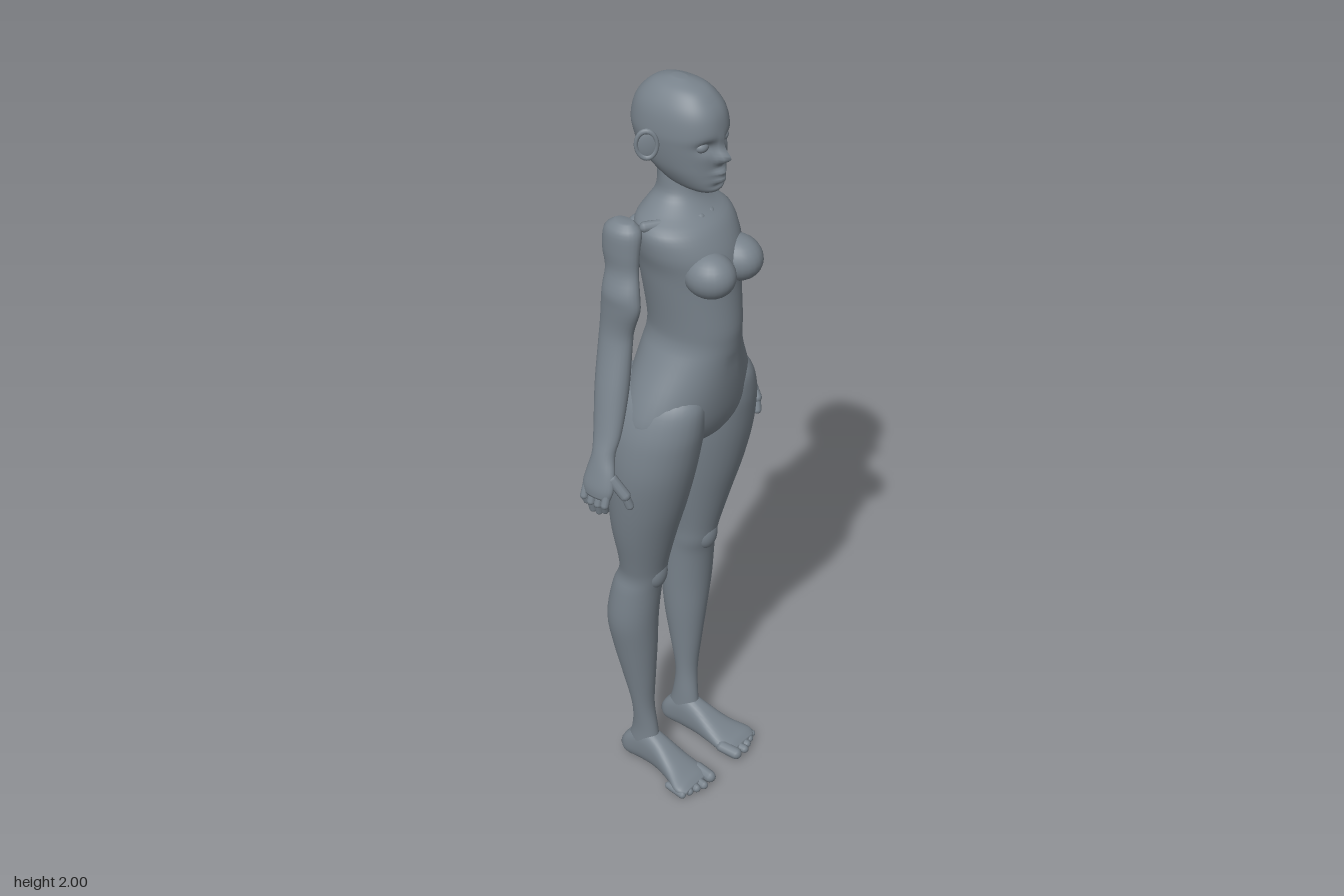
import * as THREE from 'three';

const skin = new THREE.MeshStandardMaterial({ color: 0x78828b });
skin.name = 'slate grey';

// Catmull-Rom blend of whole section rows
function sample(rows, t) {
  const i = Math.min(Math.floor(t), rows.length - 2), f = t - i;
  const at = k => rows[Math.max(0, Math.min(rows.length - 1, k))];
  const [a, b, c, d] = [at(i - 1), at(i), at(i + 1), at(i + 2)];
  return b.map((_, k) => b[k] + 0.5 * f * (c[k] - a[k] +
    f * (2 * a[k] - 5 * b[k] + 4 * c[k] - d[k] + f * (3 * (b[k] - c[k]) + d[k] - a[k]))));
}

// Skin through sections [y, xMin, xMax, zMin, zMax], listed from high y to low y
function loft(rows, { segs = 32, steps = 4, power = 2, deform } = {}) {
  const pos = [], idx = [], rings = (rows.length - 1) * steps + 1;
  const round = v => Math.sign(v) * Math.pow(Math.abs(v), 2 / power);
  for (let i = 0; i < rings; i++) {
    const [y, x0, x1, z0, z1] = sample(rows, i / steps);
    for (let j = 0; j < segs; j++) {
      const a = j / segs * Math.PI * 2;
      const p = new THREE.Vector3(
        (x0 + x1) / 2 + (x1 - x0) / 2 * round(Math.cos(a)), y,
        (z0 + z1) / 2 + (z1 - z0) / 2 * round(Math.sin(a)));
      if (deform) deform(p, Math.sin(a));
      pos.push(p.x, p.y, p.z);
    }
  }
  for (const r of [rows[0], rows[rows.length - 1]]) pos.push((r[1] + r[2]) / 2, r[0], (r[3] + r[4]) / 2);
  const top = rings * segs, last = (rings - 1) * segs;
  for (let j = 0; j < segs; j++) {
    const k = (j + 1) % segs;
    idx.push(top, k, j, top + 1, last + j, last + k);
    for (let i = 0; i < rings - 1; i++) {
      const a = i * segs + j, b = i * segs + k;
      idx.push(a, b, a + segs, b, b + segs, a + segs);
    }
  }
  const g = new THREE.BufferGeometry();
  g.setAttribute('position', new THREE.Float32BufferAttribute(pos, 3));
  g.setIndex(idx);
  g.computeVertexNormals();
  return g;
}

const symmetric = rows => rows.map(([y, w, b, f]) => [y, -w, w, b, f]);

function ellipsoid(x, y, z, rx, ry, rz, turn = 0) {
  return new THREE.SphereGeometry(1, 24, 16).scale(rx, ry, rz).rotateY(turn).translate(x, y, z);
}

// Rounded rod between two points
function digit(from, to, r) {
  const a = new THREE.Vector3(...from), b = new THREE.Vector3(...to), d = b.clone().sub(a);
  const q = new THREE.Quaternion().setFromUnitVectors(new THREE.Vector3(0, 1, 0), d.clone().normalize());
  return new THREE.CapsuleGeometry(r, d.length(), 5, 10).applyQuaternion(q)
    .translate((a.x + b.x) / 2, (a.y + b.y) / 2, (a.z + b.z) / 2);
}

function mirrored(g) {
  const m = g.clone().scale(-1, 1, 1), ix = m.index.array;
  for (let i = 0; i < ix.length; i += 3) [ix[i], ix[i + 1]] = [ix[i + 1], ix[i]];
  return m;
}

const bump = (p, x, y, sx, sy) => Math.exp(-(((Math.abs(p.x) - x) / sx) ** 2) - ((p.y - y) / sy) ** 2);

export function createModel() {
  const model = new THREE.Group();
  const add = (name, g) => {
    const mesh = new THREE.Mesh(g, skin);
    mesh.name = name;
    model.add(mesh);
  };
  const pair = (name, g) => {
    add('left ' + name, g);
    add('right ' + name, mirrored(g));
  };

  // Head with sockets, nose, lips and chin pushed into the face
  add('head', loft(symmetric([
    [1.999, 0.012, -0.045, -0.01], [1.985, 0.043, -0.09, 0.04], [1.96, 0.065, -0.12, 0.07],
    [1.93, 0.078, -0.138, 0.088], [1.89, 0.084, -0.146, 0.095], [1.86, 0.083, -0.141, 0.091],
    [1.82, 0.077, -0.125, 0.088], [1.79, 0.068, -0.095, 0.088], [1.76, 0.052, -0.06, 0.09],
    [1.745, 0.038, -0.03, 0.085], [1.735, 0.022, 0, 0.066],
  ]), {
    segs: 64, steps: 6, power: 2.3, deform: (p, front) => {
      if (front < 0.2) return;
      p.z += 0.026 * bump(p, 0, 1.833, 0.013, 0.016) + 0.01 * bump(p, 0, 1.855, 0.009, 0.025)
        + 0.008 * bump(p, 0.014, 1.828, 0.007, 0.009)
        + 0.014 * bump(p, 0, 1.793, 0.02, 0.008) + 0.013 * bump(p, 0, 1.775, 0.017, 0.008)
        - 0.014 * bump(p, 0.037, 1.864, 0.02, 0.016) - 0.005 * bump(p, 0, 1.762, 0.025, 0.006);
    },
  }));
  pair('eye', ellipsoid(0.037, 1.864, 0.061, 0.019, 0.015, 0.018));
  pair('ear', ellipsoid(0.098, 1.86, -0.042, 0.008, 0.036, 0.026, -0.65));
  pair('ear rim', new THREE.TorusGeometry(0.028, 0.006, 8, 24).scale(0.85, 1.2, 1)
    .rotateY(Math.PI / 2 - 0.65).translate(0.102, 1.862, -0.042));

  // Neck, chest, waist and hips, with a groove down the spine and a navel
  add('torso', loft(symmetric([
    [1.79, 0.045, -0.085, -0.005], [1.75, 0.044, -0.08, 0], [1.71, 0.05, -0.088, 0.015],
    [1.68, 0.085, -0.105, 0.045], [1.65, 0.128, -0.12, 0.085], [1.6, 0.13, -0.125, 0.115],
    [1.55, 0.118, -0.125, 0.128], [1.5, 0.111, -0.118, 0.128], [1.4, 0.099, -0.105, 0.137],
    [1.35, 0.101, -0.105, 0.135], [1.3, 0.125, -0.115, 0.13], [1.2, 0.18, -0.13, 0.12],
    [1.13, 0.195, -0.125, 0.107], [1.08, 0.13, -0.1, 0.085], [1.06, 0.06, -0.07, 0.05],
  ]), {
    segs: 48, deform: (p, front) => {
      if (front < -0.3) p.z += 0.012 * bump(p, 0, 1.45, 0.018, 0.2);
      if (front > 0.5) p.z -= 0.006 * bump(p, 0, 1.29, 0.01, 0.012);
    },
  }));
  pair('breast', ellipsoid(0.052, 1.55, 0.098, 0.057, 0.056, 0.067));
  pair('collarbone', digit([0.018, 1.665, 0.045], [0.12, 1.66, -0.035], 0.013));
  pair('shoulder blade', ellipsoid(0.07, 1.58, -0.095, 0.045, 0.07, 0.035));
  pair('buttock', ellipsoid(0.087, 1.145, -0.08, 0.086, 0.105, 0.086));

  // Legs
  pair('leg', loft([
    [1.24, 0.03, 0.14, -0.10, 0.08], [1.2, 0.012, 0.176, -0.135, 0.106], [1.14, 0.003, 0.202, -0.145, 0.108],
    [1.08, 0.002, 0.215, -0.145, 0.1], [1, 0.006, 0.22, -0.14, 0.085], [0.9, 0.015, 0.211, -0.14, 0.06],
    [0.8, 0.026, 0.195, -0.135, 0.03], [0.7, 0.04, 0.172, -0.123, 0.003], [0.65, 0.043, 0.164, -0.128, -0.007],
    [0.6, 0.046, 0.172, -0.145, -0.018], [0.5, 0.047, 0.177, -0.16, -0.028], [0.4, 0.05, 0.16, -0.15, -0.035],
    [0.3, 0.057, 0.14, -0.13, -0.043], [0.2, 0.063, 0.122, -0.11, -0.05], [0.12, 0.06, 0.113, -0.115, -0.042],
    [0.06, 0.058, 0.114, -0.13, -0.035], [0.03, 0.06, 0.11, -0.125, -0.04],
  ]));
  pair('kneecap', ellipsoid(0.103, 0.66, -0.025, 0.034, 0.045, 0.026));

  // Feet, lofted from toes to heel and laid flat
  pair('foot', loft([
    [0.105, 0.05, 0.145, -0.022, -0.008], [0.09, 0.042, 0.158, -0.032, -0.001], [0.07, 0.04, 0.157, -0.039, 0],
    [0.03, 0.045, 0.138, -0.06, 0], [-0.03, 0.053, 0.12, -0.096, 0], [-0.08, 0.056, 0.115, -0.11, 0],
    [-0.13, 0.06, 0.112, -0.075, 0], [-0.15, 0.072, 0.1, -0.045, -0.014],
  ], { power: 2.4 }).rotateX(Math.PI / 2));
  for (let i = 0; i < 5; i++) {
    const r = i ? 0.012 - i * 0.0005 : 0.016, x = i ? 0.068 + i * 0.021 : 0.057;
    pair('toe ' + (i + 1), digit([x - 0.004, r + 0.004, 0.07 - i * 0.006], [x, r, 0.116 - r - (i > 1 ? i - 1 : 0) * 0.008 + 0.012], r));
  }

  // Arms from shoulder to knuckles
  pair('arm', loft([
    [1.672, 0.125, 0.155, -0.105, -0.055], [1.65, 0.11, 0.176, -0.13, -0.032], [1.6, 0.122, 0.18, -0.132, -0.03],
    [1.55, 0.13, 0.18, -0.122, -0.03], [1.5, 0.138, 0.197, -0.122, -0.018], [1.46, 0.142, 0.197, -0.125, -0.015],
    [1.4, 0.14, 0.196, -0.13, -0.035], [1.35, 0.144, 0.205, -0.13, -0.038], [1.25, 0.166, 0.235, -0.12, -0.03],
    [1.15, 0.208, 0.262, -0.1, -0.024], [1.1, 0.235, 0.28, -0.088, -0.026], [1.06, 0.254, 0.293, -0.092, -0.014],
    [1.02, 0.267, 0.304, -0.098, -0.008], [0.995, 0.275, 0.305, -0.092, -0.014],
  ], { segs: 24 }));

  // Fingers and thumb
  for (let i = 0; i < 4; i++) {
    const z = -0.024 - i * 0.021, tip = [0.962, 0.952, 0.952, 0.968][i];
    pair('finger ' + (i + 1), digit([0.288, 1.01, z], [0.298, (tip + 1) / 2, z], 0.0105));
    pair('fingertip ' + (i + 1), digit([0.298, (tip + 1) / 2, z], [0.292, tip, z * 0.9 - 0.006], 0.0095));
  }
  pair('thumb', digit([0.273, 1.045, -0.02], [0.263, 1.005, 0.01], 0.014));
  pair('thumb tip', digit([0.263, 1.005, 0.01], [0.256, 0.975, 0.018], 0.011));

  return model;
}
